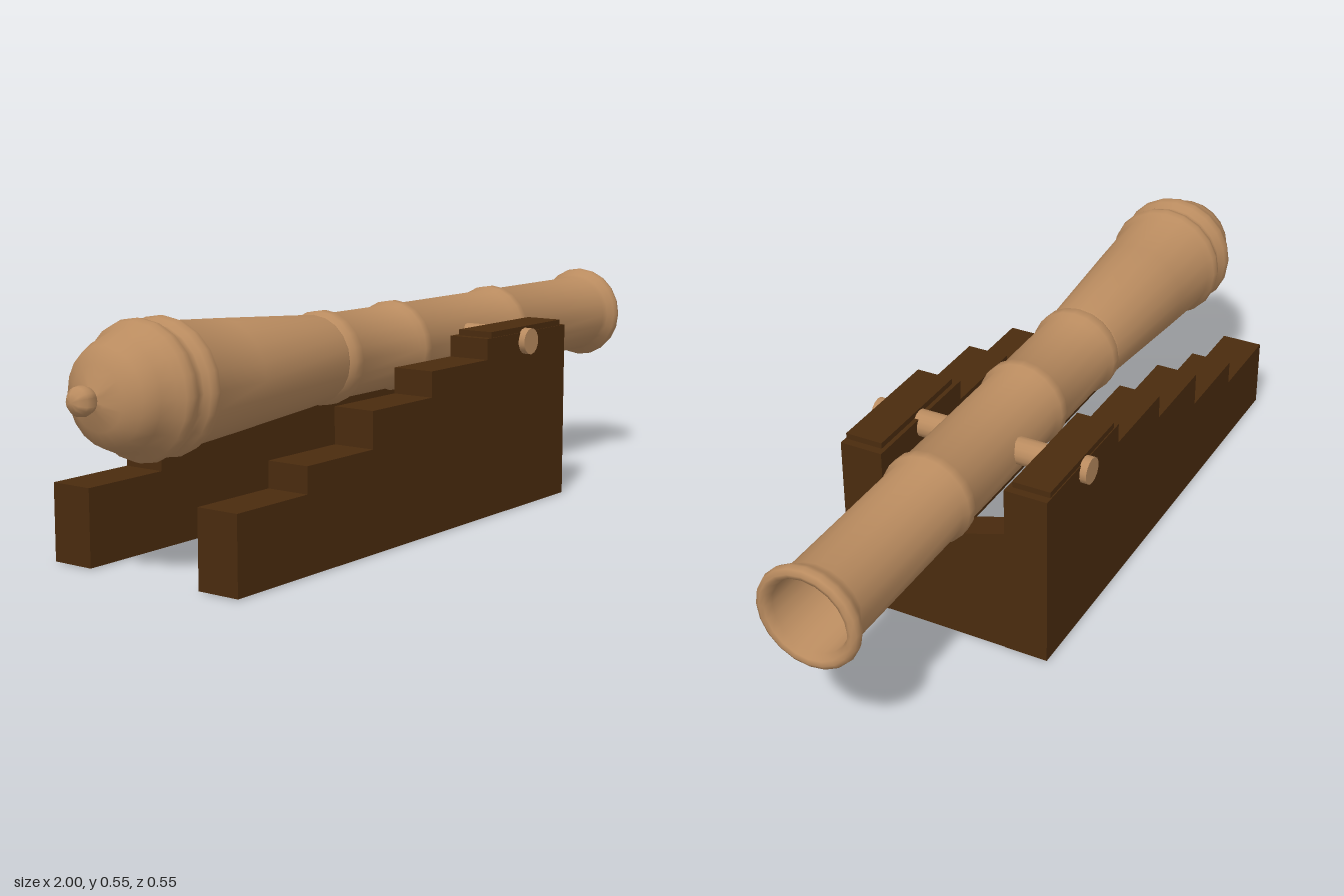
import * as THREE from 'three';
import { toCreasedNormals } from 'three/addons/utils/BufferGeometryUtils.js';

const AXIS_Y = 0.4;

export function createModel() {
  const bronze = new THREE.MeshStandardMaterial({ color: 0xb98b5f });
  bronze.name = 'bronze';
  const wood = new THREE.MeshStandardMaterial({ color: 0x4a2b0e });
  wood.name = 'dark wood';

  const model = new THREE.Group();
  model.name = 'cannon';
  const add = (name, geometry, material, x = 0, y = 0, z = 0) => {
    const mesh = new THREE.Mesh(geometry, material);
    mesh.name = name;
    mesh.position.set(x, y, z);
    model.add(mesh);
    return mesh;
  };
  const shapeOf = (points) => new THREE.Shape(points.map(([a, b]) => new THREE.Vector2(a, b)));

  // Barrel: one turned profile of [radius, x], from the knob to the muzzle and back into the bore
  const ring = (x, r, h, w) => [[r, x - w], [r + h, x - w * 0.5], [r + h, x + w * 0.5], [r, x + w]];
  const profile = [
    [0, -1], [0.018, -0.995], [0.03, -0.982], [0.032, -0.968], [0.027, -0.953], [0.019, -0.945],
    [0.03, -0.94], [0.07, -0.926], [0.105, -0.905], [0.122, -0.87], [0.132, -0.835],
    [0.146, -0.822], [0.151, -0.807], [0.148, -0.79], [0.137, -0.775], [0.136, -0.76],
    [0.146, -0.75], [0.15, -0.735], [0.146, -0.72], [0.136, -0.705],
    [0.126, -0.55], [0.103, -0.23],
    ...ring(-0.197, 0.101, 0.009, 0.027),
    ...ring(0.08, 0.1, 0.009, 0.025),
    ...ring(0.517, 0.1, 0.009, 0.025),
    [0.1, 0.94], [0.105, 0.955], [0.117, 0.97], [0.121, 0.982], [0.118, 0.994], [0.108, 1],
    [0.098, 0.997], [0.089, 0.98], [0.088, 0.45], [0.06, 0.41], [0, 0.4],
  ].map(([r, x]) => new THREE.Vector2(r, x));
  const barrel = toCreasedNormals(new THREE.LatheGeometry(profile, 20), 0.9);
  barrel.rotateZ(-Math.PI / 2);
  add('barrel', barrel, bronze, 0, AXIS_Y);

  // Trunnion bar that carries the barrel
  const trunnion = new THREE.CylinderGeometry(0.032, 0.032, 0.55, 14);
  trunnion.rotateX(Math.PI / 2);
  add('trunnion', trunnion, bronze, 0.275, 0.41);

  // Stepped cheek and its cap plate on either side
  const cheekShape = shapeOf([
    [-0.805, 0], [0.46, 0], [0.46, 0.43], [0.105, 0.43], [0.105, 0.38], [-0.125, 0.38],
    [-0.125, 0.32], [-0.35, 0.32], [-0.35, 0.235], [-0.58, 0.235], [-0.58, 0.175], [-0.805, 0.175],
  ]);
  for (const [side, s] of [['front', 1], ['back', -1]]) {
    const cheek = new THREE.ExtrudeGeometry(cheekShape, { depth: 0.105, bevelEnabled: false });
    cheek.translate(0, 0.002, -0.0525);
    add(side + 'Cheek', cheek, wood, 0, 0, s * 0.206);
    add(side + 'Cap', new THREE.BoxGeometry(0.315, 0.016, 0.092), wood, 0.2825, 0.438, s * 0.21);
  }

  // Front transom with a shallow V cut below the barrel
  const transomShape = shapeOf([[-0.155, 0.002], [0.155, 0.002], [0.155, 0.317], [0, 0.268], [-0.155, 0.317]]);
  const transom = new THREE.ExtrudeGeometry(transomShape, { depth: 0.073, bevelEnabled: false });
  transom.rotateY(Math.PI / 2);
  add('transom', transom, wood, 0.386);

  // Bed panel, a single face looking down
  const bed = new THREE.PlaneGeometry(0.97, 0.39);
  bed.rotateX(Math.PI / 2);
  add('bed', bed, wood, -0.07, 0);

  return model;
}
